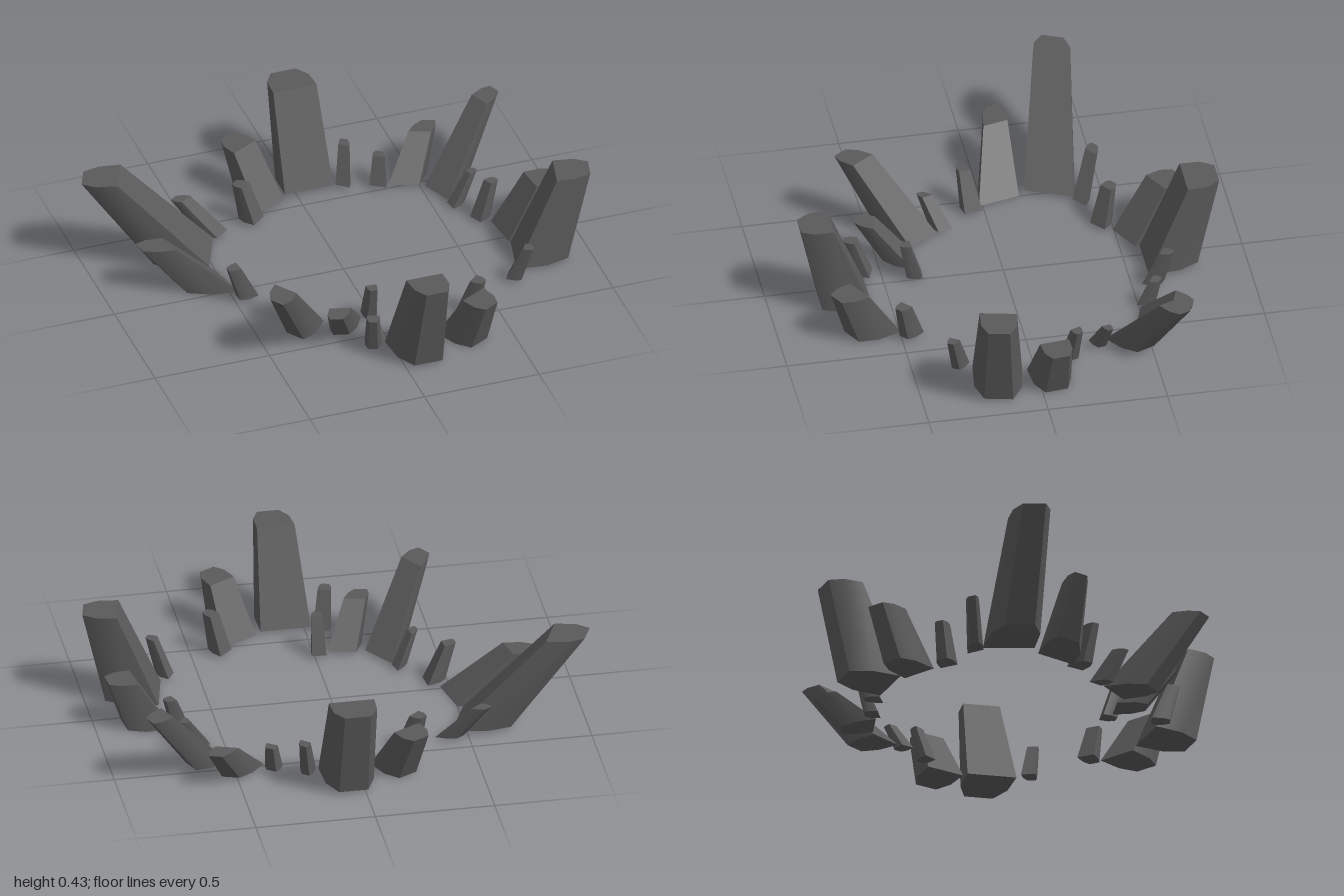
import * as THREE from 'three';
import { toCreasedNormals } from 'three/addons/utils/BufferGeometryUtils.js';

// Each rock: inner edge from (ax, az) to (bx, bz), outermost tip (tx, tz), height, top width ratio
const BIG_ROCKS = [
  [-0.05, -0.58, 0.16, -0.58, 0.05, -0.885, 0.41, 0.9],
  [0.375, -0.505, 0.495, -0.465, 0.61, -0.68, 0.17, 0.75],
  [0.515, -0.45, 0.57, -0.32, 0.87, -0.60, 0.32, 0.65],
  [0.69, -0.13, 0.71, 0.035, 0.95, -0.065, 0.22, 0.75],
  [0.71, 0.055, 0.665, 0.255, 1.0, 0.205, 0.41, 0.75],
  [0.35, 0.495, 0.205, 0.575, 0.375, 0.77, 0.22, 0.75],
  [0.185, 0.58, -0.025, 0.58, 0.10, 0.875, 0.41, 0.75],
  [-0.055, 0.37, -0.17, 0.34, -0.235, 0.58, 0.17, 0.75],
  [-0.21, 0.35, -0.295, 0.225, -0.50, 0.59, 0.32, 0.75],
  [-0.46, 0.015, -0.50, -0.16, -0.85, -0.12, 0.22, 0.6],
  [-0.52, -0.185, -0.435, -0.38, -1.0, -0.395, 0.425, 0.75],
  [-0.195, -0.495, -0.06, -0.565, -0.235, -0.775, 0.22, 0.85],
];
const SMALL_ROCKS = [
  [0.17, -0.58, 0.22, -0.54, 0.24, -0.665, 0.17, 0.75],
  [0.30, -0.53, 0.36, -0.49, 0.365, -0.59, 0.13, 0.7],
  [0.56, -0.305, 0.57, -0.25, 0.69, -0.32, 0.14, 0.65],
  [0.615, -0.175, 0.64, -0.12, 0.73, -0.185, 0.17, 0.75],
  [0.63, 0.26, 0.60, 0.31, 0.705, 0.355, 0.17, 0.75],
  [0.385, 0.405, 0.33, 0.455, 0.43, 0.52, 0.17, 0.75],
  [-0.03, 0.555, -0.095, 0.53, -0.10, 0.65, 0.17, 0.75],
  [0.015, 0.34, -0.045, 0.335, -0.02, 0.43, 0.17, 0.75],
  [-0.295, 0.215, -0.31, 0.155, -0.41, 0.275, 0.14, 0.75],
  [-0.40, 0.085, -0.41, 0.01, -0.535, 0.085, 0.17, 0.65],
  [-0.42, -0.37, -0.36, -0.415, -0.57, -0.49, 0.17, 0.8],
  [-0.245, -0.41, -0.185, -0.46, -0.295, -0.515, 0.17, 0.75],
];

// Cross-section: straight inner edge, chamfered outer side (across, outward)
const SECTION = [[-0.5, 0], [0.5, 0], [0.48, 0.6], [0.29, 1], [-0.29, 1], [-0.48, 0.6]];

// A tapered slab leaning outward, lofted between a base ring and a smaller top ring
function rockGeometry([ax, az, bx, bz, tx, tz, height, taper]) {
  const mid = new THREE.Vector3((ax + bx) / 2, 0, (az + bz) / 2);
  const across = new THREE.Vector3(bx - ax, 0, bz - az);
  const out = new THREE.Vector3(tx, 0, tz).sub(mid);
  const length = out.length();
  out.normalize();
  const baseDepth = Math.min(0.7 * length, 1.1 * across.length());
  const topDepth = 0.65 * baseDepth;
  const baseY = height === 0.22 ? 0 : 0.012;

  const positions = [];
  const addRing = (width, start, depth, y) => {
    for (const [u, v] of SECTION) {
      const p = mid.clone().addScaledVector(across, u * width).addScaledVector(out, start + v * depth);
      positions.push(p.x, y, p.z);
    }
  };
  addRing(1, 0, baseDepth, baseY);
  addRing(taper, length - topDepth, topDepth, height);

  const n = SECTION.length;
  const index = [];
  for (let i = 0; i < n; i++) {
    const j = (i + 1) % n;
    index.push(i, j, n + j, i, n + j, n + i);
  }
  for (let i = 1; i < n - 1; i++) {
    index.push(0, i + 1, i, n, n + i, n + i + 1); // bottom and top caps
  }
  const geometry = new THREE.BufferGeometry();
  geometry.setAttribute('position', new THREE.Float32BufferAttribute(positions, 3));
  geometry.setIndex(index);
  return toCreasedNormals(geometry, 0.75);
}

export function createModel() {
  const stone = new THREE.MeshStandardMaterial({ color: 0x5a5a5a });
  stone.name = 'dark grey stone';

  const model = new THREE.Group();
  model.name = 'rockRing';
  const addRocks = (rows, name) => {
    const group = new THREE.Group();
    group.name = name + 's';
    rows.forEach((row, i) => {
      const rock = new THREE.Mesh(rockGeometry(row), stone);
      rock.name = name + (i + 1);
      group.add(rock);
    });
    model.add(group);
  };
  addRocks(BIG_ROCKS, 'bigRock');
  addRocks(SMALL_ROCKS, 'smallRock');
  return model;
}
